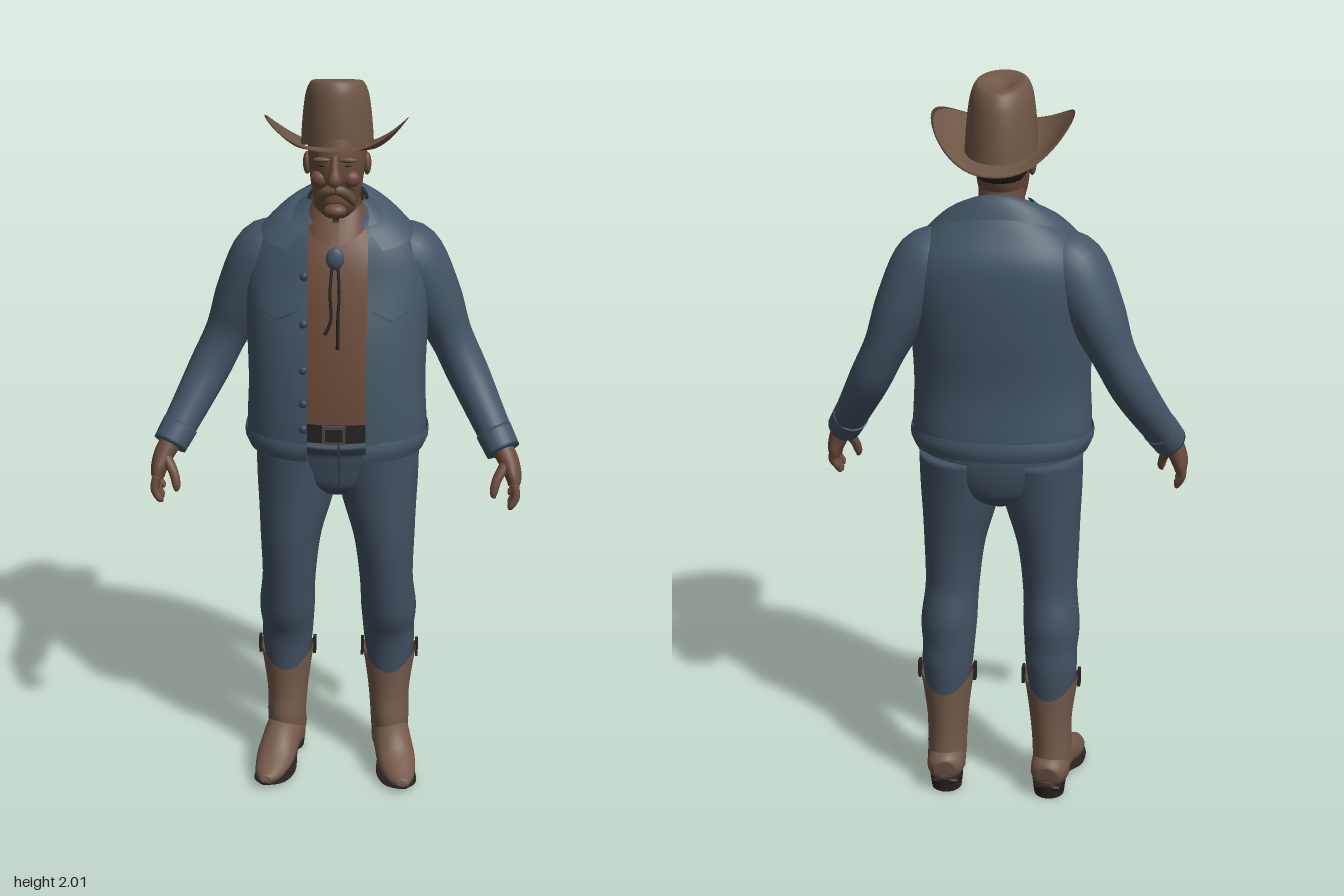
import * as THREE from 'three';
import { mergeVertices } from 'three/addons/utils/BufferGeometryUtils.js';

const paint = (name, color, open) => {
  const m = new THREE.MeshStandardMaterial({ color });
  m.name = name;
  if (open) m.side = THREE.DoubleSide;
  return m;
};
const V = (x, y, z) => new THREE.Vector3(x, y, z);
const TAU = Math.PI * 2;
const mix = THREE.MathUtils.lerp;
const pow = (s, p) => Math.sign(s) * Math.abs(s) ** p;

// Smooth interpolation through rows of numbers
function rowAt(rows, t) {
  const last = rows.length - 1;
  const i = Math.min(Math.floor(t), last - 1), f = t - i;
  const [a, b, c, d] = [Math.max(i - 1, 0), i, i + 1, Math.min(i + 2, last)].map(k => rows[k]);
  return b.map((_, k) => b[k] + 0.5 * f * (c[k] - a[k] + f * (2 * a[k] - 5 * b[k] + 4 * c[k] - d[k] + f * (3 * (b[k] - c[k]) + d[k] - a[k]))));
}

export function createModel() {
  const model = new THREE.Group();
  model.name = 'standingMan';
  const denim = paint('jacketDenim', 0x445566, true);
  const jean = paint('trouserDenim', 0x415060);
  const felt = paint('hatFelt', 0x6f5646);
  const leather = paint('bootLeather', 0x73594a, true);
  const cloth = paint('shirtCloth', 0x6b4b3a, true);
  const skin = paint('skin', 0x6b4c3d);
  const whisker = paint('whiskers', 0x66503f);
  const dark = paint('darkLeather', 0x262220, true);
  const seam = paint('darkDenim', 0x374654, true);
  const metal = paint('buckleMetal', 0x4a4846);

  const add = (name, mat, geo) => {
    const m = new THREE.Mesh(geo, mat);
    m.name = name;
    model.add(m);
    return m;
  };
  // Grid surface from a rule; its front is du x dv
  function surface(name, mat, nu, nv, fn) {
    const pos = [], idx = [];
    for (let j = 0; j <= nv; j++) for (let i = 0; i <= nu; i++) pos.push(...fn(i / nu, j / nv));
    for (let j = 0; j < nv; j++) for (let i = 0; i < nu; i++) {
      const a = j * (nu + 1) + i, b = a + 1, c = a + nu + 1, d = c + 1;
      idx.push(a, b, d, a, d, c);
    }
    let g = new THREE.BufferGeometry();
    g.setAttribute('position', new THREE.Float32BufferAttribute(pos, 3));
    g.setIndex(idx);
    g = mergeVertices(g, 1e-5);
    g.computeVertexNormals();
    return add(name, mat, g);
  }
  // Closed limb through rows of [x, y, z, width radius, depth radius]
  function limb(name, mat, rows, { ref = V(0, 0, 1), p = 1, n = 28, s = 1 } = {}) {
    const path = rows.map(([x, ...r]) => [x * s, ...r]), last = rows.length - 1, nv = last * 5 + 2;
    return surface(name, mat, n, nv, (u, v) => {
      const k = Math.round(v * nv), t = last * THREE.MathUtils.clamp((k - 1) / (nv - 2), 0, 1);
      const [x, y, z, rx, rz] = rowAt(path, t), c = V(x, y, z);
      if (k === 0 || k === nv) return c.toArray();
      const dir = V(...rowAt(path, Math.min(t + 0.05, last))).sub(V(...rowAt(path, Math.max(t - 0.05, 0)))).normalize();
      const N = ref.clone().addScaledVector(dir, -ref.dot(dir)).normalize(), B = dir.clone().cross(N);
      const a = (u % 1) * TAU;
      return c.addScaledVector(N, rz * pow(Math.cos(a), p)).addScaledVector(B, rx * pow(Math.sin(a), p)).toArray();
    });
  }
  const ball = (name, mat, [x, y, z], [a, b, c]) =>
    add(name, mat, new THREE.SphereGeometry(1, 20, 14).scale(a, b, c).translate(x, y, z));

  // Jacket rule: rows of [y, half width, centre z, half depth]
  const coat = [[1.02, .232, -.008, .172], [1.07, .243, -.008, .175], [1.2, .238, -.008, .17], [1.35, .243, -.025, .167],
    [1.48, .25, -.045, .152], [1.56, .228, -.05, .139], [1.62, .18, -.045, .113], [1.66, .125, -.045, .09], [1.69, .085, -.04, .068]];
  const P = 0.86;
  function coatRow(y) {
    let lo = 0, hi = coat.length - 1;
    for (let k = 0; k < 24; k++) {
      const m = (lo + hi) / 2;
      if (rowAt(coat, m)[0] < y) lo = m; else hi = m;
    }
    return rowAt(coat, lo);
  }
  const onCoat = (a, y, off = 0) => {
    const [, rx, cz, rz] = coatRow(y);
    return [(rx + off) * pow(Math.sin(a), P), y, cz + (rz + off) * pow(Math.cos(a), P)];
  };
  const angleOf = (x, y) => Math.asin(pow(THREE.MathUtils.clamp(x / coatRow(y)[1], -.75, .75), 1 / P));
  const onFront = (x, y, off) => onCoat(angleOf(x, y), y, off);
  const wrap = (u, y) => mix(angleOf(.085, y), TAU + angleOf(-.07, y), u);

  // Jacket shell, hem band, collar and front edges
  surface('jacketBody', denim, 72, 40, (u, v) => { const y = mix(1.02, 1.69, v); return onCoat(wrap(u, y), y); });
  surface('jacketHem', denim, 72, 4, (u, v) => {
    const y = mix(1.015, 1.07, v);
    return onCoat(wrap(u, y), y, .004 + .005 * Math.sin(v * Math.PI));
  });
  surface('jacketCollar', denim, 48, 8, (u, v) => {
    const a = mix(.5, TAU - .5, u), f = (1 + Math.cos(a)) / 2;
    const top = V(.082 * Math.sin(a), 1.722 - .085 * f, -.03 + .075 * Math.cos(a));
    const low = V(...onCoat(a, 1.665 - .095 * f, .012));
    const q = low.lerp(top, v);
    q.y += .018 * Math.sin(v * Math.PI);
    return q.toArray();
  });
  for (const [x, side] of [[-.07, -1], [.085, 1]])
    surface('jacketFrontEdge', denim, 4, 30, (u, v) => onFront(x + side * .028 * (side > 0 ? u : 1 - u), mix(1.02, 1.58, v), .005));
  for (const y of [1.11, 1.18, 1.27, 1.39, 1.51]) ball('jacketButton', seam, onFront(-.078, y, .007), [.011, .011, .007]);

  for (const s of [-1, 1]) {
    // Chest pocket with pointed flap
    surface('pocketFlap', denim, 12, 5, (u, v) => {
      const w = s > 0 ? u : 1 - u, bottom = 1.425 - .028 * (1 - Math.abs(2 * u - 1));
      return onFront(s * mix(.095, .2, w), mix(bottom, 1.465 - .01 * w, v), .01);
    });
    surface('pocketSeam', seam, 12, 1, (u, v) => {
      const w = s > 0 ? u : 1 - u, bottom = 1.425 - .028 * (1 - Math.abs(2 * u - 1));
      return onFront(s * mix(.095, .2, w), bottom - .005 * (1 - v), .007);
    });
    // Sleeve and cuff
    limb('sleeve', denim, [[.13, 1.56, -.055, .06, .075], [.185, 1.525, -.06, .094, .098], [.252, 1.41, -.075, .08, .09], [.303, 1.3, -.08, .06, .07],
      [.352, 1.2, -.06, .057, .064], [.405, 1.1, -.005, .05, .054], [.45, 1.02, .05, .044, .046]], { s });
    limb('sleeveCuff', denim, [[.425, 1.062, .022, .05, .052], [.452, 1.015, .053, .047, .049]], { s });
    // Hand with four fingers and a thumb
    limb('palm', skin, [[.443, 1.03, .043, .03, .032], [.465, .995, .06, .028, .036], [.48, .955, .072, .023, .045], [.483, .93, .077, .017, .042]], { s });
    for (let i = 0; i < 4; i++) {
      const z = .042 + i * .024, len = [.05, .068, .072, .062][i];
      limb('finger', skin, [[.482, .945, z, .012, .012], [.488, .945 - len * .55, z + .006, .011, .0115],
        [.474, .945 - len, z + .01, .009, .009], [.468, .941 - len, z + .01, .003, .003]], { s, n: 10 });
    }
    limb('thumb', skin, [[.46, .99, .08, .015, .016], [.437, .955, .105, .013, .014], [.428, .92, .118, .011, .011], [.43, .905, .12, .004, .004]], { s, n: 10 });

    // Trouser leg
    limb('trouserLeg', jean, [[.147, .27, -.075, .056, .062], [.147, .37, -.075, .07, .07], [.144, .43, -.068, .073, .075], [.144, .5, -.055, .078, .09],
      [.137, .6, -.035, .075, .09], [.13, .74, -.027, .086, .102], [.114, .88, -.032, .108, .112], [.108, 1.0, -.038, .116, .122]], { s });

    // Boot shaft with a scalloped top, pull straps, foot, sole and heel
    const shaft = [[.05, .15, -.085, .052, .075], [.12, .15, -.07, .055, .08], [.2, .147, -.075, .058, .073], [.29, .147, -.077, .068, .074], [.38, .147, -.077, .08, .077]];
    surface('bootShaft', leather, 40, 16, (u, v) => {
      const a = (u % 1) * TAU, y = mix(.05, .372 - .07 * Math.abs(Math.cos(a)) ** 1.5, v);
      const [, x, z, rx, rz] = rowAt(shaft, (y - .05) / .33 * 4);
      return [s * x + rx * Math.sin(a), y, z + rz * Math.cos(a)];
    });
    for (const k of [-1, 1])
      add('bootPullStrap', dark, new THREE.BoxGeometry(.008, .05, .024).translate(s * .147 + k * .078, .35, -.08));
    const up = V(0, 1, 0);
    limb('bootFoot', leather, [[.145, .07, -.163, .03, .03], [.147, .075, -.14, .05, .048], [.152, .085, -.06, .054, .065], [.162, .078, .0, .054, .06],
      [.175, .052, .06, .054, .04], [.188, .036, .12, .04, .025], [.196, .034, .152, .02, .014], [.197, .034, .158, .006, .005]], { ref: up, s });
    limb('bootSole', dark, [[.145, .034, -.16, .035, .008], [.15, .034, -.08, .046, .009], [.158, .026, -.03, .042, .009], [.172, .009, .05, .056, .009],
      [.188, .011, .115, .045, .008], [.197, .024, .157, .016, .006]], { ref: up, s });
    add('bootHeel', dark, new THREE.CylinderGeometry(.047, .042, .04, 24).scale(1, 1, 1.1).translate(s * .147, .02, -.112));
  }

  // Trouser seat, fly and belt
  limb('trouserSeat', jean, [[0, .865, -.035, .06, .07], [0, .9, -.037, .15, .105], [0, .97, -.04, .208, .122], [0, 1.03, -.035, .214, .128], [0, 1.08, -.02, .213, .143]]);
  surface('trouserFly', seam, 2, 10, (u, v) => { const y = mix(.92, 1.05, v); return [mix(.008, .014, u), y, mix(.085, .122, v)]; });
  add('belt', dark, new THREE.CylinderGeometry(1, 1, .052, 56, 1, true).scale(.22, 1, .16).translate(0, 1.088, -.014));
  add('beltBuckle', metal, new THREE.BoxGeometry(.062, .05, .012).translate(0, 1.088, .149));
  add('buckleInset', dark, new THREE.BoxGeometry(.046, .034, .006).translate(0, 1.088, .154));

  // Shirt, collar points and string tie
  limb('shirt', cloth, [[0, 1.08, -.015, .212, .152], [0, 1.2, -.015, .215, .15], [0, 1.35, -.03, .215, .147], [0, 1.48, -.045, .215, .135],
    [0, 1.57, -.05, .165, .112], [0, 1.65, -.045, .075, .07]], { p: .9, n: 40 });
  surface('shirtCollar', cloth, 40, 5, (u, v) => {
    const a = mix(.12, TAU - .12, u), f = ((1 + Math.cos(a)) / 2) ** 3, r = 1.3 - .3 * v;
    return [.07 * r * Math.sin(a), mix(1.65 - .055 * f, 1.695 - .04 * f, v), -.025 + (.075 + .03 * f * (1 - v)) * r * Math.cos(a)];
  });
  ball('tieSlide', denim, [0, 1.555, .088], [.024, .03, .014]);
  for (const s of [-1, 1])
    limb('tieCord', dark, [[s * .006, 1.55, .082, .004, .004], [s * .012, 1.47, .106, .004, .004], [s * .009, 1.4, .12, .004, .004],
      [s * .017 - .008, 1.34 - .02 * s, .127, .005, .005]], { n: 8 });

  // Neck, head and face
  limb('neck', skin, [[0, 1.56, -.045, .07, .065], [0, 1.66, -.03, .062, .062], [0, 1.76, -.02, .06, .062]]);
  limb('head', skin, [[0, 1.662, .06, .018, .022], [0, 1.675, .047, .042, .05], [0, 1.71, .02, .061, .078], [0, 1.76, .004, .07, .1],
    [0, 1.82, -.005, .075, .107], [0, 1.87, -.01, .074, .1]], { p: .92 });
  limb('nose', skin, [[0, 1.83, .1, .009, .01], [0, 1.795, .111, .012, .014], [0, 1.768, .118, .018, .017], [0, 1.758, .112, .012, .01]], { n: 16 });
  ball('hair', dark, [0, 1.8, -.052], [.076, .07, .069]);
  ball('chin', skin, [0, 1.682, .083], [.03, .018, .022]);
  for (const s of [-1, 1]) {
    limb('moustache', whisker, [[0, 1.745, .113, .012, .012], [.022, 1.737, .106, .014, .014], [.042, 1.712, .086, .011, .012], [.046, 1.697, .077, .005, .006]], { s, n: 14, ref: V(0, .3, 1).normalize() });
    ball('ear', skin, [s * .078, 1.785, -.012], [.011, .03, .019]);
    ball('brow', whisker, [s * .032, 1.818, .096], [.024, .007, .01]);
    ball('eye', dark, [s * .031, 1.803, .093], [.012, .004, .005]);
    ball('cheek', skin, [s * .04, 1.765, .077], [.024, .022, .02]);
  }

  // Hat crown with a creased, teardrop top
  const crown = [[1, 0], [.98, .05], [.94, .1], [.87, .14], [.72, .164], [.45, .16], [.2, .148], [0, .143]];
  surface('hatCrown', felt, 56, 40, (u, v) => {
    const a = (u % 1) * TAU, [r, h] = rowAt(crown, v * (crown.length - 1));
    const c = Math.cos(a), pinch = 1 - .22 * (1 - c) / 2 * v;
    const x = .095 * r * Math.sin(a) * pinch, z = -.03 + .122 * r * c;
    return [x, 1.836 + h + .19 * z * (1 - v) + .02 * c * r * v, z + .01 * v];
  });
  // Brim: out along the underside, back along the top, sides curled up
  surface('hatBrim', felt, 72, 24, (u, v) => {
    const a = (u % 1) * TAU, s = 1 - Math.abs(2 * v - 1), sn = Math.sin(a);
    const x = mix(.085, .186, s) * sn, z = mix(-.025, 0, s) + mix(.112, .2, s) * Math.cos(a);
    return [x, 1.823 + .19 * z + .088 * Math.abs(sn) ** 2.4 * s ** 1.7 + (v > .5 ? .009 : 0) * (1 - s * .5), z];
  });
  return model;
}
